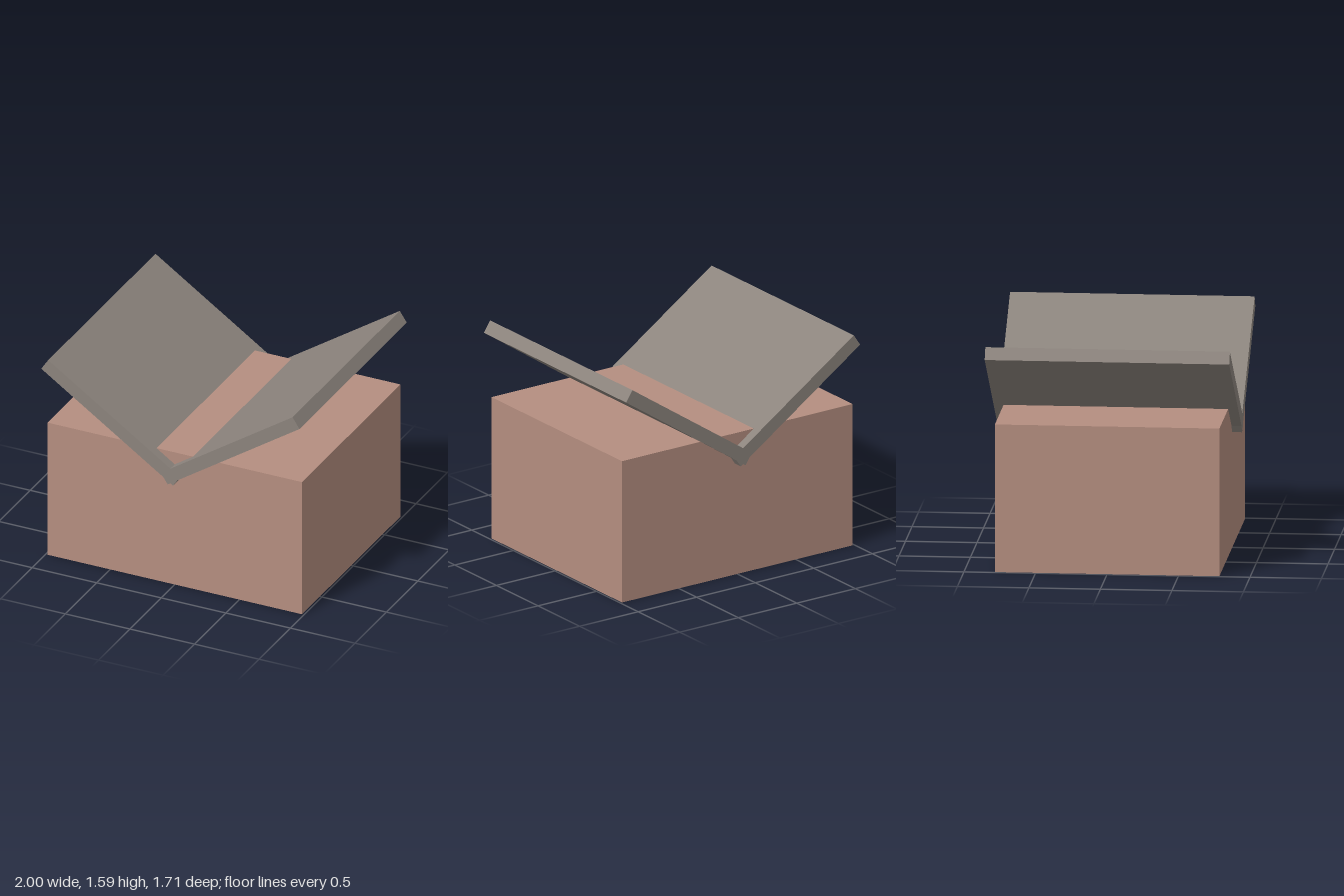
import * as THREE from 'three';

function addBox(parent, name, size, position, material) {
  const mesh = new THREE.Mesh(new THREE.BoxGeometry(...size), material);
  mesh.name = name;
  mesh.position.set(...position);
  parent.add(mesh);
  return mesh;
}

export function createModel() {
  const model = new THREE.Group();
  model.name = 'butterflyRoofHouse';
  const wallMaterial = new THREE.MeshStandardMaterial({ color: 0xb58e80 });
  const roofMaterial = new THREE.MeshStandardMaterial({ color: 0x8c847d });

  // Solid block of the house
  addBox(model, 'walls', [1.97, 1.05, 1.57], [0, 0.525, 0], wallMaterial);

  // Two slabs sloping down to a central valley, crossing at their lower ends
  const slope = 0.5914;
  for (const side of [1, -1]) {
    const name = side > 0 ? 'leftRoofSlab' : 'rightRoofSlab';
    const slab = addBox(model, name, [1.229, 0.097, 1.71], [side * 0.4625, 1.2075, 0], roofMaterial);
    slab.rotation.z = side * slope;
  }
  return model;
}
